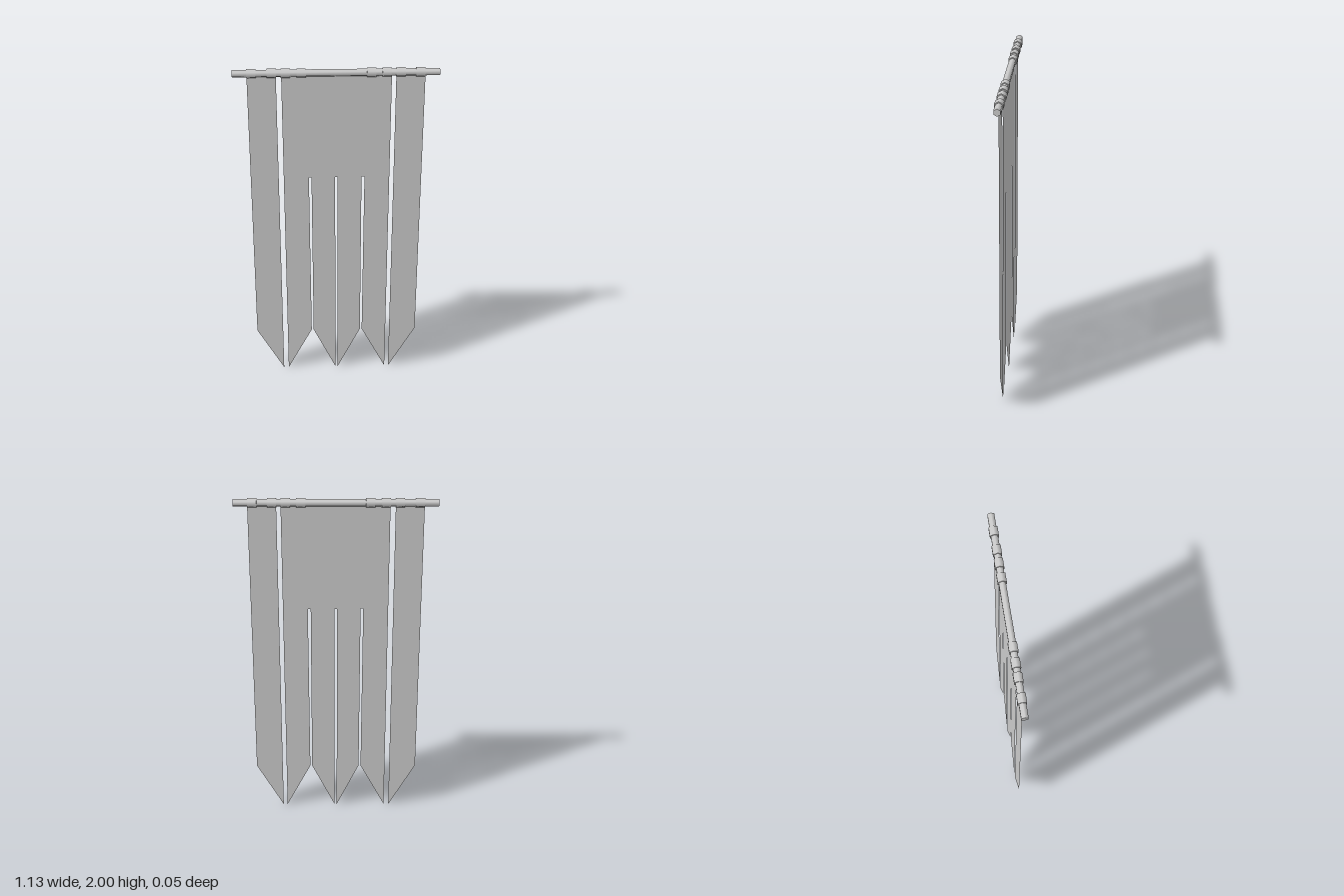
import * as THREE from 'three';

const ROD_Y = 1.973;
const ROD_Z = -0.001;

export function createModel() {
  const group = new THREE.Group();
  const metal = new THREE.MeshStandardMaterial({ color: 0xcccccc });
  const cloth = new THREE.MeshStandardMaterial({ color: 0xcccccc, side: THREE.DoubleSide });

  const add = (name, geometry, material) => {
    const mesh = new THREE.Mesh(geometry, material);
    mesh.name = name;
    group.add(mesh);
    return mesh;
  };

  // Six-sided bar along x, with an edge pointing up
  const bar = (name, x0, x1, radius) => {
    const geometry = new THREE.CylinderGeometry(radius, radius, x1 - x0, 6);
    geometry.rotateY(Math.PI / 2).rotateZ(Math.PI / 2);
    add(name, geometry, metal).position.set((x0 + x1) / 2, ROD_Y, ROD_Z);
  };

  // Flat cloth panel from its outline
  const panel = (name, points) => {
    const shape = new THREE.Shape(points.map(([x, y]) => new THREE.Vector2(x, y)));
    add(name, new THREE.ShapeGeometry(shape), cloth);
  };

  // Hanging rod
  bar('rod', -0.565, 0.565, 0.021);

  // Loops that hold the cloth on the rod
  for (const side of [-1, 1]) {
    for (const x of [0.192, 0.276, 0.351, 0.459]) {
      const centre = side * x + (side > 0 ? 0.001 : 0.005 - x * 0.017);
      bar('loop', centre - 0.0255, centre + 0.0255, 0.027);
    }
  }

  const top = 1.962, shoulder = 0.285, slit = 1.34;

  // Side streamers, pointed on their inner edge
  for (const side of [-1, 1]) {
    panel(side < 0 ? 'rightStreamer' : 'leftStreamer', [
      [side * 0.487, top], [side * 0.487, shoulder], [side * 0.328, 0], [side * 0.328, top],
    ]);
  }

  // Centre banner, slit into four pointed tails
  panel('centreBanner', [
    [-0.299, top], [-0.299, 0], [-0.151, shoulder],
    [-0.156, slit], [-0.141, slit],
    [-0.139, shoulder], [-0.004, 0],
    [-0.006, slit], [0.008, slit],
    [0.009, 0], [0.147, shoulder],
    [0.145, slit], [0.162, slit],
    [0.158, shoulder], [0.304, 0], [0.304, top],
  ]);

  return group;
}
